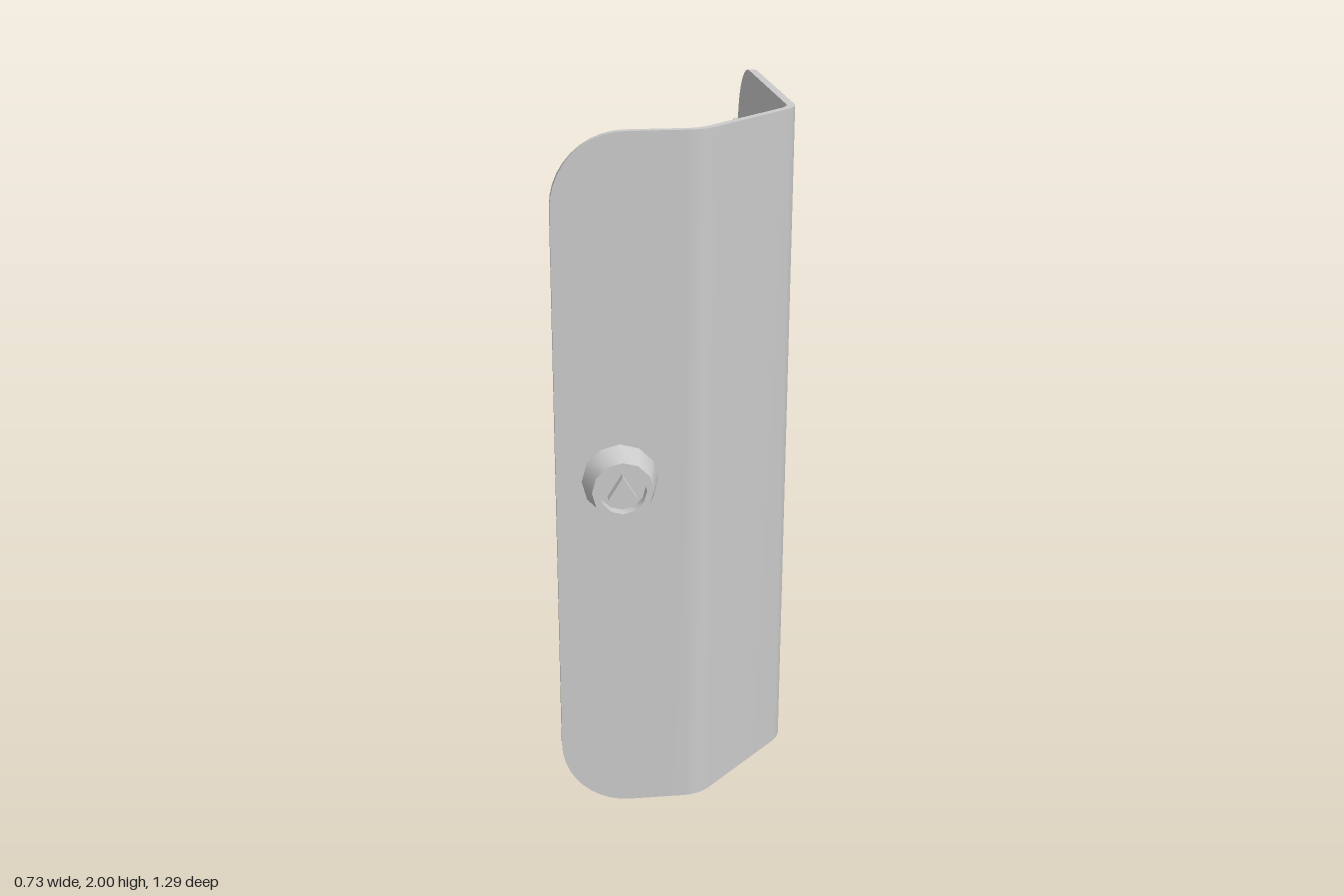
import * as THREE from 'three';
import { toCreasedNormals } from 'three/addons/utils/BufferGeometryUtils.js';

const material = new THREE.MeshStandardMaterial({ color: 0xcccccc });

function add(parent, name, geometry, x = 0, y = 0, z = 0) {
  const mesh = new THREE.Mesh(geometry, material);
  mesh.name = name;
  mesh.position.set(x, y, z);
  parent.add(mesh);
  return mesh;
}

// Bent sheet, swept along its plan-view centreline with rounded outer corners
function panelGeometry() {
  const half = 0.012, corner = 0.2, left = -0.365, back = -0.606;
  const front = 0.548, side = 0.333, bend = 0.1, steps = 8;
  const diagonal = 0.585; // x + z along the slanted face
  const t = bend * Math.tan(Math.PI / 8);
  const stations = []; // x, z, normal angle from +z towards +x, half height

  const rounding = (i) => {
    const a = (i / 10) * Math.PI / 2;
    return [corner * (1 - Math.cos(a)), 1 - corner + corner * Math.sin(a)];
  };
  for (let i = 0; i <= 10; i++) {
    const [d, h] = rounding(i);
    stations.push([left + d, front, 0, h]);
  }
  const addBend = (cx, cz, start) => {
    for (let i = 0; i <= steps; i++) {
      const a = start + (i / steps) * Math.PI / 4;
      stations.push([cx + bend * Math.sin(a), cz + bend * Math.cos(a), a, 1]);
    }
  };
  addBend(diagonal - front - t, front - bend, 0);
  addBend(side - bend, diagonal - side - t, Math.PI / 4);
  for (let i = 10; i >= 0; i--) {
    const [d, h] = rounding(i);
    stations.push([side, back + d, Math.PI / 2, h]);
  }

  const positions = [], index = [];
  stations.forEach(([x, z, a, h], i) => {
    const nx = Math.sin(a) * half, nz = Math.cos(a) * half;
    positions.push(x + nx, 1 - h, z + nz, x + nx, 1 + h, z + nz);
    positions.push(x - nx, 1 + h, z - nz, x - nx, 1 - h, z - nz);
    if (i === stations.length - 1) return;
    for (let k = 0; k < 4; k++) {
      const a0 = i * 4 + k, b0 = i * 4 + (k + 1) % 4;
      index.push(a0, a0 + 4, b0 + 4, a0, b0 + 4, b0);
    }
  });
  const e = (stations.length - 1) * 4;
  index.push(0, 1, 2, 0, 2, 3, e, e + 2, e + 1, e, e + 3, e + 2);

  const geometry = new THREE.BufferGeometry();
  geometry.setAttribute('position', new THREE.Float32BufferAttribute(positions, 3));
  geometry.setIndex(index);
  return toCreasedNormals(geometry, Math.PI / 6);
}

// Turned part with its axis along z; profile points are [radius, z]
function turned(profile, sides) {
  const points = profile.map(([r, z]) => new THREE.Vector2(r, z));
  const geometry = new THREE.LatheGeometry(points, sides).rotateX(Math.PI / 2);
  return toCreasedNormals(geometry, Math.PI / 5);
}

export function createModel() {
  const model = new THREE.Group();
  model.name = 'bentDoor';

  add(model, 'doorPanel', panelGeometry());

  // Hinge barrels on the rear edge
  for (const [name, y] of [['lowerHinge', 0.61], ['upperHinge', 1.692]]) {
    add(model, name, new THREE.CylinderGeometry(0.027, 0.027, 0.234, 20), side(), y, -0.62);
  }

  // Lock: all pieces share the shaft axis
  const lock = new THREE.Group();
  lock.name = 'lock';
  lock.position.set(-0.187, 1.03, 0);
  model.add(lock);

  // Tapered knob with a recessed face
  add(lock, 'lockKnob', turned(
    [[0, 0.555], [0.108, 0.555], [0.085, 0.645], [0.066, 0.645], [0.066, 0.612], [0, 0.612]], 12));

  // Triangular key stud in the recess
  const triangle = new THREE.Shape([
    new THREE.Vector2(-0.04, -0.025), new THREE.Vector2(0.04, -0.025), new THREE.Vector2(0, 0.04)]);
  add(lock, 'keyStud', new THREE.ExtrudeGeometry(triangle, { depth: 0.03, bevelEnabled: false }), 0, 0, 0.61);

  // Shaft with a flared collar behind the panel
  add(lock, 'lockShaft', turned(
    [[0, 0.405], [0.045, 0.405], [0.045, 0.508], [0.066, 0.538], [0, 0.538]], 20));

  // Latch bar hanging from the shaft
  add(lock, 'latchBar', new THREE.BoxGeometry(0.106, 0.315, 0.029), 0, -0.07, 0.468);

  return model;
}

// x position of the hinge edge
function side() {
  return 0.333;
}
